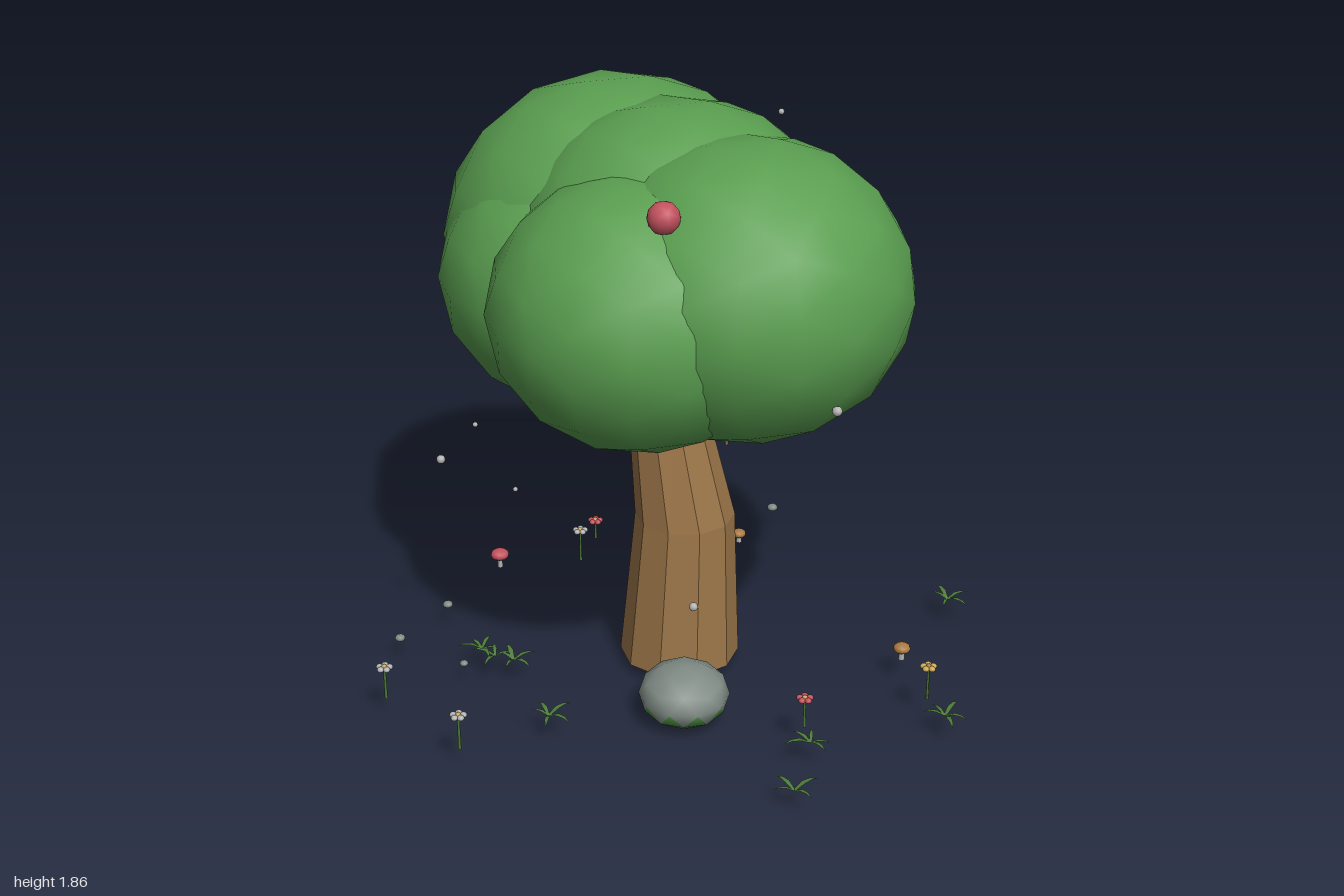
import * as THREE from 'three';

const mat = (name, color, side = THREE.FrontSide) => {
  const m = new THREE.MeshStandardMaterial({ color, side });
  m.name = name;
  return m;
};

export function createModel() {
  const leaf = mat('leafGreen', 0x5a9e50);
  const bark = mat('barkBrown', 0x9c7649);
  const stone = mat('stoneGrey', 0x818c86);
  const moss = mat('mossGreen', 0x4a8a3e);
  const red = mat('berryRed', 0xc4525f);
  const gold = mat('goldYellow', 0xccaa55);
  const white = mat('petalGrey', 0xb4b4b4);
  const grass = mat('grassGreen', 0x4c7a38, THREE.DoubleSide);
  const brown = mat('capBrown', 0xab7a42);
  const vineMat = mat('vineBrown', 0x7c6a50);

  const model = new THREE.Group();
  model.name = 'tree';
  const add = (name, geo, material, x = 0, y = 0, z = 0, parent = model) => {
    const mesh = new THREE.Mesh(geo, material);
    mesh.name = name;
    mesh.position.set(x, y, z);
    parent.add(mesh);
    return mesh;
  };
  const group = (name, x, y, z) => {
    const g = new THREE.Group();
    g.name = name;
    g.position.set(x, y, z);
    model.add(g);
    return g;
  };

  // Canopy: overlapping, slightly squashed balls
  const ball = new THREE.IcosahedronGeometry(1, 2);
  [
    ['backCanopy', -0.11, 1.385, -0.36, 0.54],
    ['middleCanopy', -0.01, 1.42, -0.06, 0.498],
    ['frontCanopy', 0.105, 1.385, 0.23, 0.495],
    ['frontSideCanopy', -0.19, 1.335, 0.185, 0.455],
    ['sideCanopy', -0.235, 1.3, -0.245, 0.46],
    ['smallCanopy', 0.255, 1.345, 0.07, 0.408],
  ].forEach(([n, x, y, z, r]) => add(n, ball, leaf, x, y, z).scale.set(r, r * 0.9, r));

  // Trunk: faceted rings [y, x, z, radius] that bend and taper
  const rings = [[0.04, -0.005, -0.065, 0.19], [0.53, 0.012, -0.06, 0.157],
    [0.92, -0.04, -0.09, 0.118], [1.15, -0.05, -0.1, 0.1]];
  const SIDES = 10;
  const trunkGeo = new THREE.CylinderGeometry(1, 1, 3, SIDES, 3).toNonIndexed();
  const p = trunkGeo.attributes.position;
  for (let i = 0; i < p.count; i++) {
    const [y, x, z, r] = rings[Math.round(p.getY(i) + 1.5)];
    p.setXYZ(i, x + p.getX(i) * r, y, z + p.getZ(i) * r);
  }
  trunkGeo.computeVertexNormals();
  add('trunk', trunkGeo, bark);

  // Hanging vines under the canopy
  const vine = (...pts) => {
    const path = new THREE.CurvePath();
    const v = pts.map((q) => new THREE.Vector3(...q));
    for (let i = 1; i < v.length; i++) path.add(new THREE.LineCurve3(v[i - 1], v[i]));
    add('vine', new THREE.TubeGeometry(path, 10, 0.006, 5), vineMat);
  };
  vine([0.04, 1.0, -0.11], [0.195, 0.82, -0.17], [0.185, 0.69, -0.175]);
  vine([0.03, 0.98, -0.12], [0.14, 0.82, -0.16], [0.13, 0.69, -0.17]);
  vine([0.0, 1.0, -0.15], [0.07, 0.87, -0.19], [0.07, 0.75, -0.19]);

  // Fruit
  const bead = new THREE.IcosahedronGeometry(1, 1);
  [
    [-0.2, 1.7, 0.44, 0.048, red], [0.2, 1.67, -0.72, 0.05, gold],
    [0.44, 1.47, -0.29, 0.046, gold], [0.36, 1.205, -0.59, 0.051, red],
  ].forEach(([x, y, z, r, m]) => add('fruit', bead, m, x, y, z).scale.setScalar(r));

  // Rocks: stone on top, moss on the faces below
  const rockGeo = new THREE.IcosahedronGeometry(1, 1);
  rockGeo.rotateZ(-Math.atan2(2, 1 + Math.sqrt(5)));
  const rp = rockGeo.attributes.position;
  for (let i = 0; i < rp.count; i += 3) {
    const cy = (rp.getY(i) + rp.getY(i + 1) + rp.getY(i + 2)) / 3;
    rockGeo.addGroup(i, 3, cy > -0.2 ? 0 : 1);
  }
  [
    [-0.1, 0.103, 0.3, 0.14, 0.097, 0.145], [0.14, 0.1, -0.45, 0.1, 0.06, 0.09],
    [-0.02, 0.06, -0.105, 0.055, 0.04, 0.05],
  ].forEach(([x, y, z, sx, sy, sz]) => add('rock', rockGeo, [stone, moss], x, y, z).scale.set(sx, sy, sz));

  // Pebbles on the ground
  [
    [0.13, -0.93, 0.019], [0.29, -0.96, 0.019], [0.58, -0.84, 0.019],
    [-0.68, -0.485, 0.017], [-0.87, -0.315, 0.017], [-0.705, -0.1, 0.014],
  ].forEach(([x, z, r]) => add('pebble', bead, stone, x, 0.083, z).scale.set(r, r * 0.7, r));

  // Floating motes
  [
    [-0.73, 0.76, -0.19, 0.014], [-0.665, 0.975, 0.05, 0.008], [-0.52, 0.67, -0.1, 0.008],
    [0.245, 1.15, 0.63, 0.015], [-0.055, 0.37, 0.25, 0.014], [0.465, 1.67, -0.5, 0.01],
  ].forEach(([x, y, z, r]) => add('mote', bead, white, x, y, z).scale.setScalar(r));

  // Flowers: stem, ring of petals, small centre
  [
    [-0.975, 0.03, 0.19, white], [-0.815, 0.37, 0.195, white], [-0.18, -0.66, 0.195, white],
    [0.615, 0.515, 0.193, gold], [0.2, 0.555, 0.18, red], [-0.09, -0.8, 0.15, red],
  ].forEach(([x, z, top, m]) => {
    const g = group('flower', x, 0, z);
    const h = top - 0.08;
    add('stem', new THREE.CylinderGeometry(0.004, 0.005, h, 5), grass, 0, 0.08 + h / 2, 0, g);
    for (let i = 0; i < 5; i++) {
      const a = (i / 5) * Math.PI * 2;
      add('petal', bead, m, Math.cos(a) * 0.016, top, Math.sin(a) * 0.016, g).scale.set(0.011, 0.009, 0.011);
    }
    add('flowerCentre', bead, m === gold ? brown : gold, 0, top + 0.002, 0, g).scale.setScalar(0.009);
  });

  // Mushrooms: pale stalk and domed cap
  const cap = new THREE.SphereGeometry(1, 10, 6);
  [
    [-0.455, -0.7, 0.125, 0.032, red], [0.63, 0.27, 0.118, 0.028, brown],
    [0.385, -0.635, 0.11, 0.025, brown],
  ].forEach(([x, z, y, r, m]) => {
    const g = group('mushroom', x, 0, z);
    add('stalk', new THREE.CylinderGeometry(0.008, 0.01, y - 0.077, 6), white, 0, (y + 0.077) / 2, 0, g);
    add('cap', cap, m, 0, y, 0, g).scale.set(r, r * 0.62, r);
  });

  // Grass tufts: low arching blades, each a strip narrowing to a point
  const sections = [[0, 0, 0.005], [0.035, 0.018, 0.009], [0.065, 0.02, 0.006], [0.092, 0.01, 0.0005]];
  const verts = [];
  const faces = [];
  sections.forEach(([x, y, w], i) => {
    verts.push(x, y, -w, x, y, w);
    const k = i * 2;
    if (i) faces.push(k - 2, k - 1, k, k - 1, k + 1, k);
  });
  const blade = new THREE.BufferGeometry();
  blade.setAttribute('position', new THREE.Float32BufferAttribute(verts, 3));
  blade.setIndex(faces);
  blade.computeVertexNormals();
  [
    [0.06, 0.86, 4, 0.2], [0.63, 0.62, 5, 0.5], [0.92, -0.04, 5, 0.1], [0.19, 0.64, 5, 0.9],
    [-0.52, 0.27, 5, 0.3], [-0.63, -0.18, 5, 0.7], [-0.55, -0.08, 5, 0.1], [-0.6, -0.12, 4, 1.1],
  ].forEach(([x, z, n, turn]) => {
    const g = group('grassTuft', x, 0.08, z);
    for (let i = 0; i < n; i++) {
      const b = add('blade', blade, grass, 0, 0, 0, g);
      b.rotation.y = turn + (i / n) * Math.PI * 2 + 0.35 * Math.sin(i * 2.3 + turn);
      b.scale.setScalar(0.8 + 0.15 * Math.sin(i * 1.7 + turn * 5));
    }
  });

  return model;
}
